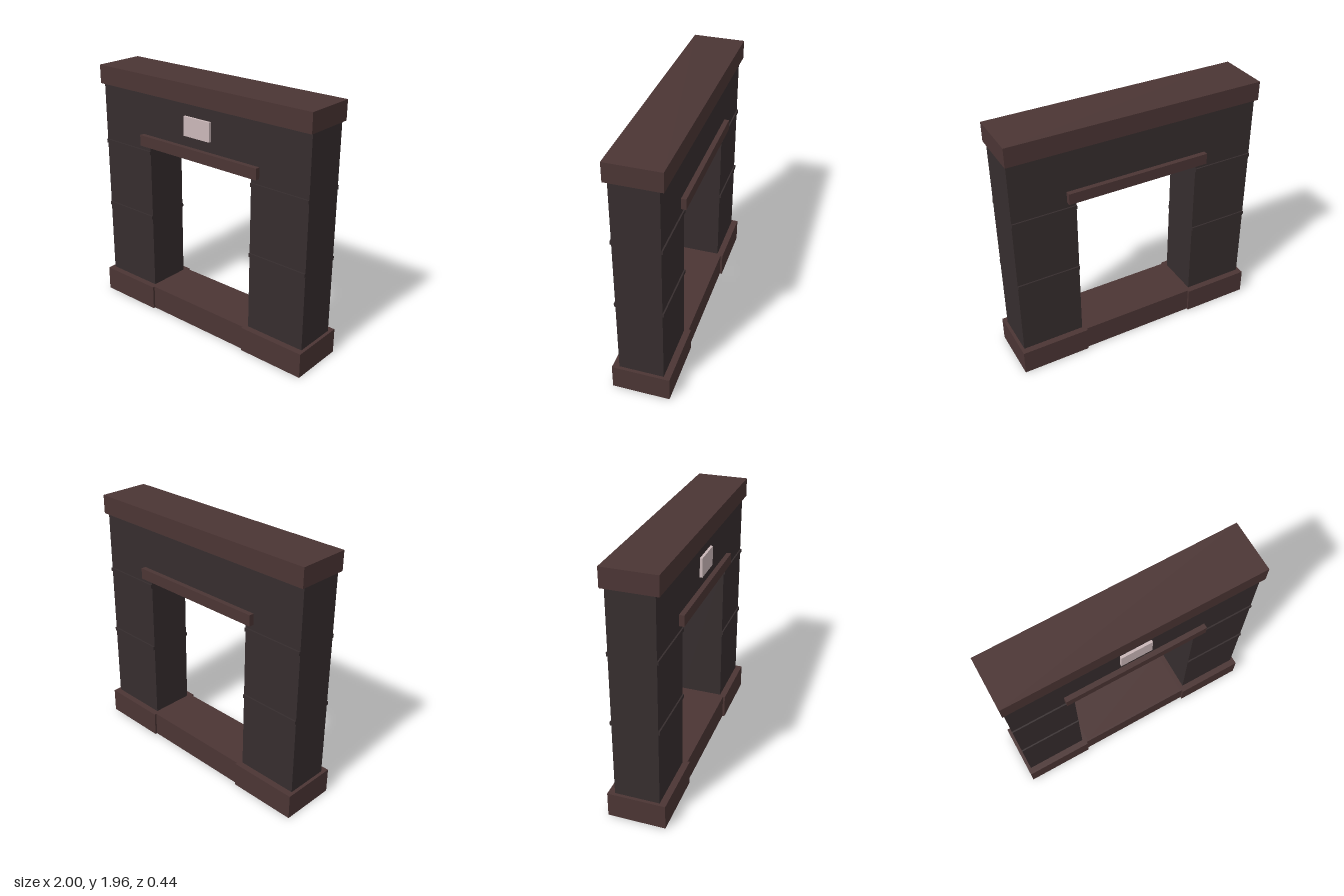
import * as THREE from 'three';

const mat = (name, color) => {
  const m = new THREE.MeshStandardMaterial({ color });
  m.name = name;
  return m;
};

export function createModel() {
  const root = new THREE.Group();
  root.name = 'fireplaceSurround';
  const trim = mat('reddish brown trim', 0x4b3534);
  const stone = mat('dark stone', 0x362d2e);
  const pale = mat('pale pink plate', 0xcab7b8);

  // Box given by its minimum and maximum corners
  const box = (parent, name, material, x0, x1, y0, y1, z0, z1) => {
    const mesh = new THREE.Mesh(new THREE.BoxGeometry(x1 - x0, y1 - y0, z1 - z0), material);
    mesh.position.set((x0 + x1) / 2, (y0 + y1) / 2, (z0 + z1) / 2);
    mesh.name = name;
    parent.add(mesh);
  };

  // Plinth block, hollow and open underneath
  const hollowBlock = (name, x0, x1, h, d) => {
    const g = new THREE.Group();
    g.name = name;
    const t = 0.015;
    box(g, 'frontWall', trim, x0, x1, 0, h, d - t, d);
    box(g, 'backWall', trim, x0, x1, 0, h, -d, t - d);
    box(g, 'rightWall', trim, x0, x0 + t, 0, h, t - d, d - t);
    box(g, 'leftWall', trim, x1 - t, x1, 0, h, t - d, d - t);
    box(g, 'topPlate', trim, x0 + t, x1 - t, h - 0.01, h, t - d, d - t);
    root.add(g);
  };
  hollowBlock('rightPlinth', -1, -0.465, 0.196, 0.22);
  hollowBlock('leftPlinth', 0.465, 1, 0.196, 0.22);
  hollowBlock('sill', -0.465, 0.465, 0.196, 0.203);

  // Pillars and upper wall as one arch outline
  const outline = new THREE.Shape([
    [-0.975, 0.182], [-0.49, 0.182], [-0.49, 1.4], [0.49, 1.4],
    [0.49, 0.182], [0.975, 0.182], [0.975, 1.815], [-0.975, 1.815],
  ].map(([x, y]) => new THREE.Vector2(x, y)));
  const wallGeo = new THREE.ExtrudeGeometry(outline, { depth: 0.34, bevelEnabled: false });
  wallGeo.translate(0, 0, -0.17);
  const wall = new THREE.Mesh(wallGeo, stone);
  wall.name = 'archWall';
  root.add(wall);

  // Thin bands across the front and back of both pillars
  for (const [x0, x1] of [[-0.975, -0.49], [0.49, 0.975]])
    for (const y of [0.797, 1.338])
      for (const z of [-0.175, 0.175])
        box(root, 'pillarBand', stone, x0, x1, y - 0.014, y + 0.014, z - 0.006, z + 0.006);

  // Lintel, mantel and front plate
  box(root, 'lintel', trim, -0.56, 0.56, 1.395, 1.48, -0.208, 0.208);
  box(root, 'mantel', trim, -0.988, 0.988, 1.81, 1.955, -0.2, 0.2);
  box(root, 'frontPlate', pale, -0.122, 0.122, 1.563, 1.71, 0.168, 0.19);

  return root;
}
